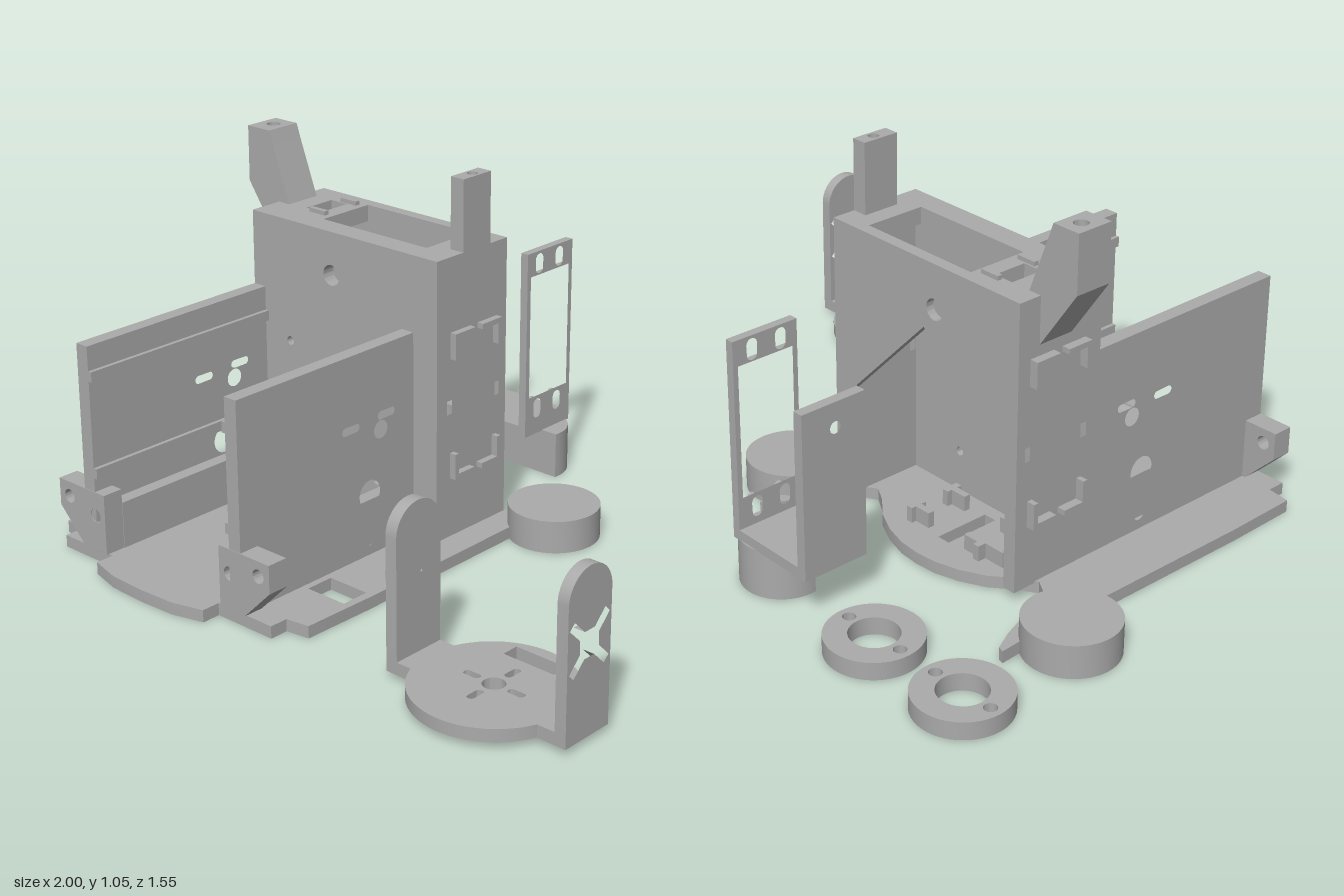
import * as THREE from 'three';
import { toCreasedNormals } from 'three/addons/utils/BufferGeometryUtils.js';

const grey = new THREE.MeshStandardMaterial({ color: 0xaaaaaa });
grey.name = 'printed grey';
const CX = -0.325; // mirror plane of the chassis

// hole and outline helpers, all in 2D point lists
const circle = (u, v, r, n = 32) => Array.from({ length: n }, (_, i) => {
  const a = (i / n) * Math.PI * 2;
  return [u + r * Math.cos(a), v + r * Math.sin(a)];
});
const rect = (u0, v0, u1, v1) => [[u0, v0], [u1, v0], [u1, v1], [u0, v1]];
// rounded slot with half sizes a, b
function slot(u, v, a, b) {
  const r = Math.min(a, b);
  return circle(0, 0, r, 16).map(([p, q]) => [
    u + p + (Math.abs(p) > 1e-6 ? Math.sign(p) : 1) * (a - r),
    v + q + (Math.abs(q) > 1e-6 ? Math.sign(q) : 1) * (b - r)]);
}
const mirrorX = (pts) => pts.map(([x, y]) => [2 * CX - x, y]);

// plate drawn square to an axis: 'z' uses (x,y), 'x' uses (z,y), 'y' uses (x,z); from a to b along the axis
function plate(axis, outline, a, b, holes = []) {
  const conv = (pts) => pts.map(([u, v]) => new THREE.Vector2(axis === 'x' ? -u : u, v));
  const s = new THREE.Shape(conv(outline));
  holes.forEach((h) => s.holes.push(new THREE.Path(conv(h))));
  const g = new THREE.ExtrudeGeometry(s, { depth: b - a, bevelEnabled: false });
  if (axis === 'x') g.rotateY(Math.PI / 2).translate(a, 0, 0);
  else if (axis === 'y') g.rotateX(Math.PI / 2).translate(0, b, 0);
  else g.translate(0, 0, a);
  return toCreasedNormals(g, 0.5);
}

export function createModel() {
  const model = new THREE.Group();
  const group = (name) => {
    const g = new THREE.Group();
    g.name = name;
    model.add(g);
    return g;
  };
  const add = (parent, name, geo) => {
    const m = new THREE.Mesh(geo, grey);
    m.name = name;
    parent.add(m);
    return m;
  };
  const box = (parent, name, x0, x1, y0, y1, z0, z1) => add(parent, name,
    new THREE.BoxGeometry(x1 - x0, y1 - y0, z1 - z0).translate((x0 + x1) / 2, (y0 + y1) / 2, (z0 + z1) / 2));

  // base plate with rear arms
  const base = group('base');
  const half = [[CX, 0.77], [-0.44, 0.765], [-0.535, 0.74], [-0.535, 0.685], [-0.73, 0.685], [-0.73, 0.63],
    [-0.8, 0.62], [-0.805, 0.4], [-0.8, -0.177], [-0.763, -0.22], [-0.748, -0.26], [-0.746, -0.3], [-0.76, -0.35],
    [-0.8, -0.395], [-0.803, -0.455], [-0.785, -0.45], [-0.755, -0.39], [-0.73, -0.32], [-0.712, -0.25],
    [-0.69, -0.2], [-0.64, -0.17], [-0.59, -0.2], [-0.53, -0.25], [-0.46, -0.285], [-0.39, -0.305], [CX, -0.31]];
  const outline = half.concat(mirrorX(half.slice(1, -1)).reverse());
  add(base, 'basePlate', plate('y', outline, 0, 0.035,
    [rect(0, 0.385, 0.13, 0.47), rect(-0.345, -0.215, -0.305, -0.045)]));

  // low corner clips on the floor of the tower
  for (const sx of [-1, 1]) for (const sz of [-1, 1]) {
    const x = -0.325 + sx * 0.1, z = -0.13 + sz * 0.065;
    box(base, 'floorClip', x - 0.03, x + 0.03, 0.035, 0.08, z - 0.01, z + 0.01);
    box(base, 'floorClip', x + sx * 0.03 - 0.01, x + sx * 0.03 + 0.01, 0.035, 0.08, z - 0.025, z + 0.025);
  }
  for (const z of [-0.175, -0.085]) box(base, 'floorPost', -0.53, -0.46, 0.035, 0.08, z - 0.02, z + 0.02);

  // side walls with rails and front feet
  const wallHoles = [circle(0.21, 0.215, 0.04), slot(0.21, 0.09, 0.018, 0.028), circle(0.165, 0.39, 0.026),
    slot(0.28, 0.422, 0.033, 0.012), slot(0.143, 0.43, 0.033, 0.012)];
  const foot = [[-0.735, 0.21], [-0.55, 0.21], [-0.55, 0.035], [-0.64, 0.035], [-0.735, 0.13]];
  const footHoles = [circle(-0.695, 0.167, 0.02), circle(-0.588, 0.14, 0.02)];
  for (const side of [-1, 1]) {
    const g = group(side < 0 ? 'rightWall' : 'leftWall');
    const span = (a, b) => (side < 0 ? [a, b] : [2 * CX - b, 2 * CX - a]);
    const m = (pts) => (side < 0 ? pts : mirrorX(pts));
    add(g, 'wallPanel', plate('x', rect(0.03, 0.03, 0.69, 0.63), ...span(-0.63, -0.588), wallHoles));
    add(g, 'wallFootBar', plate('x', rect(0.03, 0.03, 0.63, 0.17), ...span(-0.588, -0.548), [wallHoles[1]]));
    for (const y of [0.25, 0.53]) box(g, 'wallRail', ...span(-0.588, -0.576), y, y + 0.03, 0.03, 0.69);
    add(g, 'frontFoot', plate('z', m(foot), 0.63, 0.692, footHoles.map(m)));
  }

  // tower: front, back with gabled opening, sides and top frame
  const tower = group('tower');
  const screws = [[-0.49, 0.49], [-0.16, 0.49], [-0.49, 0.155], [-0.16, 0.155]].map(([x, y]) => circle(x, y, 0.013, 16));
  const lensHole = circle(CX, 0.722, 0.03);
  add(tower, 'towerFront', plate('z', rect(-0.63, 0.03, 0.065, 0.848), -0.005, 0.035,
    [lensHole, circle(CX, 0.323, 0.03), ...screws]));
  add(tower, 'towerBack', plate('z', [[-0.63, 0.03], [-0.59, 0.03], [-0.59, 0.35], [-0.285, 0.66], [0.02, 0.35],
    [0.02, 0.03], [0.065, 0.03], [0.065, 0.848], [-0.63, 0.848]], -0.25, -0.225, [lensHole]));
  const sideHoles = [rect(-0.02, 0.4, 0.0, 0.44).map(([z, y]) => [z - 0.006, y]), rect(-0.222, 0.4, -0.205, 0.44)];
  for (const [name, a, b] of [['towerRight', -0.63, -0.59], ['towerLeft', 0.02, 0.065]])
    add(tower, name, plate('x', rect(-0.225, 0.03, -0.005, 0.848), a, b, sideHoles));
  add(tower, 'towerTop', plate('y', rect(-0.59, -0.225, 0.02, -0.005), 0.8, 0.848,
    [rect(-0.42, -0.215, -0.035, -0.035), rect(-0.53, -0.18, -0.47, -0.08)]));
  box(tower, 'topClip', -0.5, -0.44, 0.8, 0.86, -0.2, -0.185);
  box(tower, 'topClip', -0.5, -0.44, 0.8, 0.86, -0.075, -0.06);

  // raised corner brackets on both tower sides
  for (const [x0, x1, yb, yt] of [[0.065, 0.085, 0.21, 0.635], [-0.655, -0.63, 0.21, 0.685]])
    for (const sz of [-1, 1]) for (const up of [0, 1]) {
      const z = -0.115 + sz * 0.095, zi = z - sz * 0.08;
      const y = up ? yt : yb, d = up ? -1 : 1, zo = z - sz * 0.015;
      box(tower, 'cornerMark', x0, x1, Math.min(y, y + d * 0.015), Math.max(y, y + d * 0.015), Math.min(z, zi), Math.max(z, zi));
      box(tower, 'cornerMark', x0, x1, Math.min(y, y + d * 0.075), Math.max(y, y + d * 0.075), Math.min(z, zo), Math.max(z, zo));
    }

  // top horns with screw holes
  box(tower, 'leftHorn', 0.02, 0.065, 0.84, 1.01, -0.18, -0.07);
  add(tower, 'leftHornTip', plate('y', rect(0.02, -0.18, 0.065, -0.07), 1.01, 1.05, [circle(0.043, -0.13, 0.015, 16)]));
  add(tower, 'rightHorn', plate('z', [[-0.75, 1.01], [-0.651, 1.01], [-0.59, 0.848], [-0.63, 0.715], [-0.75, 0.888]], -0.18, -0.07));
  add(tower, 'rightHornTip', plate('y', rect(-0.75, -0.18, -0.665, -0.07), 1.01, 1.05, [circle(-0.708, -0.13, 0.02, 16)]));
  add(tower, 'rightHornSlope', plate('z', [[-0.665, 1.01], [-0.651, 1.01], [-0.665, 1.05]], -0.18, -0.07));

  // caster cups, hollow from below
  const cup = [[0, 0.06], [0.075, 0.06], [0.075, 0], [0.13, 0], [0.13, 0.095], [0, 0.095]].map((p) => new THREE.Vector2(...p));
  for (const x of [-0.87, 0.22])
    add(model, 'casterCup', toCreasedNormals(new THREE.LatheGeometry(cup, 48), 0.5)).position.set(x, 0, -0.285);

  // loose caster rings
  for (const x of [-0.87, -0.55])
    add(model, 'casterRing', plate('y', circle(x, -0.65, 0.13, 48), 0, 0.05,
      [circle(x, -0.65, 0.067), circle(x - 0.096, -0.65, 0.018, 16), circle(x + 0.096, -0.65, 0.018, 16)]));

  // sensor holder: floor, tall open frame, back panel and round foot
  const sensor = group('sensorHolder');
  box(sensor, 'holderFloor', -0.365, -0.075, 0.135, 0.165, -0.715, -0.515);
  const frameSlots = [-0.565, -0.655].flatMap((z) => [0.215, 0.664].map((y) => slot(z, y, 0.017, 0.03)));
  add(sensor, 'holderFrame', plate('x', rect(-0.715, 0.135, -0.512, 0.702), -0.1, -0.075,
    [rect(-0.7, 0.255, -0.527, 0.63), ...frameSlots]));
  add(sensor, 'holderPanel', plate('x', rect(-0.715, 0.135, -0.515, 0.605), -0.365, -0.335, [circle(-0.61, 0.535, 0.017, 16)]));
  const footArc = circle(-0.135, -0.605, 0.115, 48).filter(([, z]) => z < -0.584);
  add(sensor, 'holderFoot', plate('y', footArc, 0, 0.137));

  // tilt bracket: round floor, pivot ring and two rounded arms
  const tilt = group('tiltBracket');
  const bx = 0.715, bz = 0.555;
  const floorHoles = [circle(bx, bz, 0.03), rect(bx - 0.08, 0.375, bx + 0.08, 0.425)];
  for (const s of [-1, 1]) floorHoles.push(slot(bx + s * 0.07, bz, 0.025, 0.011), slot(bx, bz + s * 0.07, 0.011, 0.025));
  add(tilt, 'bracketFloor', plate('y', circle(bx, bz, 0.215, 64), 0.018, 0.053, floorHoles));
  add(tilt, 'pivotRing', plate('y', circle(bx, bz, 0.125, 48), 0, 0.018, [circle(bx, bz, 0.1, 48)]));
  for (const [a, b] of [[0.47, 0.52], [0.91, 0.967]]) box(tilt, 'bracketTab', a, b, 0.018, 0.053, bz - 0.08, bz + 0.08);
  const arm = [[bz - 0.08, 0.018], [bz + 0.08, 0.018]];
  for (let i = 0; i <= 20; i++) {
    const t = (i / 20) * Math.PI;
    arm.push([bz + 0.08 * Math.cos(t), 0.385 + 0.08 * Math.sin(t)]);
  }
  // cross-shaped servo horn cut-out
  const horn = [];
  for (let k = 0; k < 4; k++) {
    const t = Math.PI / 4 + (k * Math.PI) / 2, c = Math.cos(t), s = Math.sin(t);
    for (const [l, w] of [[0.038, -0.012], [0.092, -0.012], [0.092, 0.012], [0.038, 0.012]])
      horn.push([bz + l * c - w * s, 0.265 + l * s + w * c]);
  }
  add(tilt, 'pivotArm', plate('x', arm, 0.435, 0.47, [circle(bz, 0.265, 0.015, 16)]));
  add(tilt, 'servoArm', plate('x', arm, 0.967, 1, [horn]));
  add(tilt, 'pivotBoss', plate('x', circle(bz, 0.265, 0.05), 0.405, 0.435, [circle(bz, 0.265, 0.015, 16)]));

  return model;
}
